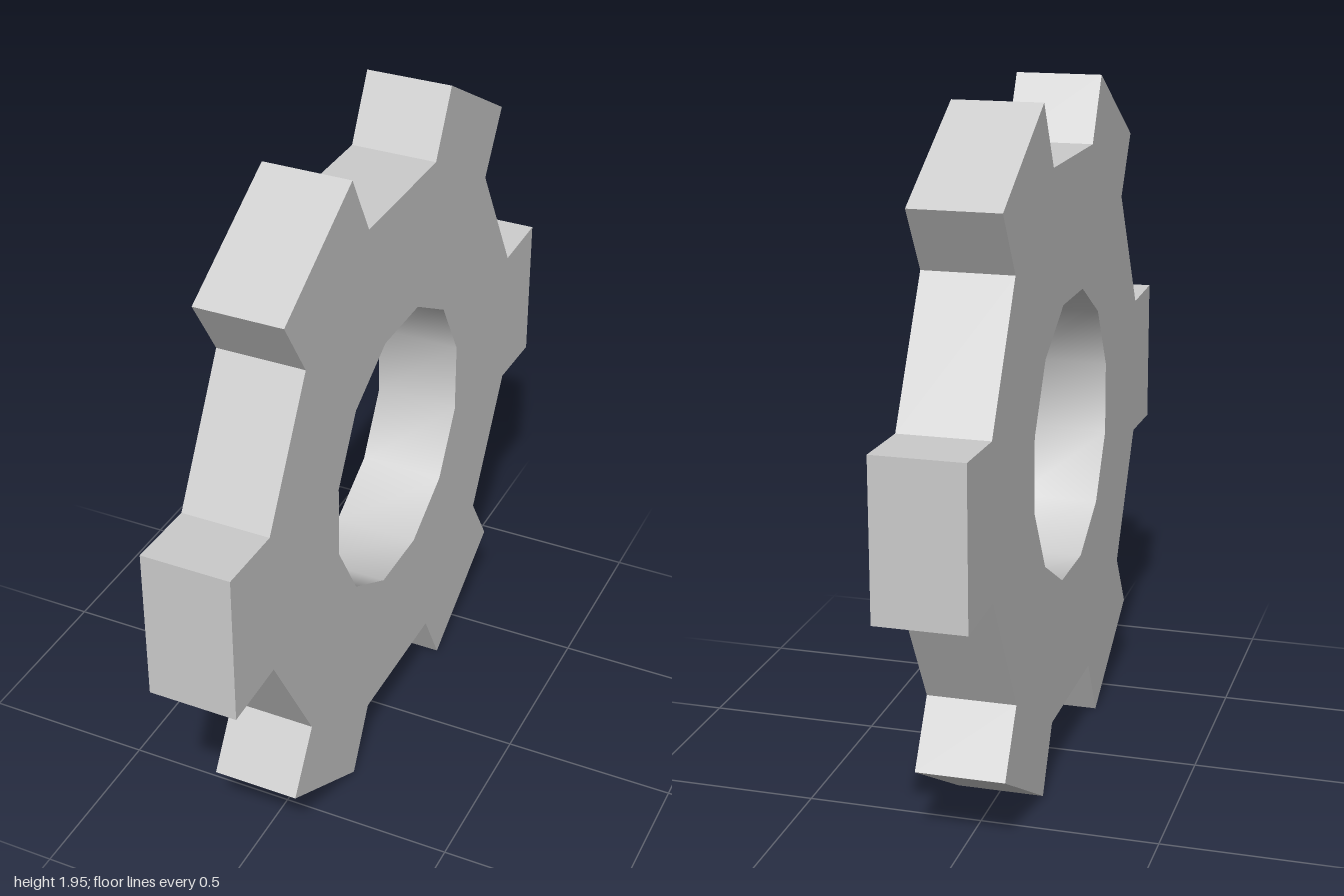
import * as THREE from 'three';
import { toCreasedNormals } from 'three/addons/utils/BufferGeometryUtils.js';

const TEETH = 6, THICKNESS = 0.25, CENTER_Y = 0.977;
const HOLE_SIDES = 12, HOLE_RADIUS = 0.414;

// Rotate a point about the gear's axle
const turned = (x, y, angle) =>
  new THREE.Vector2(x, y).rotateAround(new THREE.Vector2(), angle);

export function createModel() {
  const group = new THREE.Group();

  // Outline: root, tip, tip, root of each tooth; straight valleys between
  const outline = [];
  for (let i = 0; i < TEETH; i++) {
    const a = (i / TEETH) * Math.PI * 2;
    outline.push(
      turned(0.793, -0.212, a), turned(1, -0.219, a),
      turned(1, 0.219, a), turned(0.793, 0.212, a));
  }
  const shape = new THREE.Shape(outline);

  // Twelve-sided axle hole with flats at top, bottom and sides
  const hole = [];
  for (let i = 0; i < HOLE_SIDES; i++) {
    hole.push(turned(HOLE_RADIUS, 0, -((i + 0.5) / HOLE_SIDES) * Math.PI * 2));
  }
  shape.holes.push(new THREE.Path(hole));

  // Extrude, then turn so the axle runs along x; the bore shades smoothly
  const geometry = new THREE.ExtrudeGeometry(shape, { depth: THICKNESS, bevelEnabled: false });
  geometry.translate(0, 0, -THICKNESS / 2);
  geometry.rotateY(-Math.PI / 2);

  const gear = new THREE.Mesh(
    toCreasedNormals(geometry, 0.6),
    new THREE.MeshStandardMaterial({ color: 0xcccccc }));
  gear.name = 'gearWheel';
  gear.position.y = CENTER_Y;
  group.add(gear);
  return group;
}
